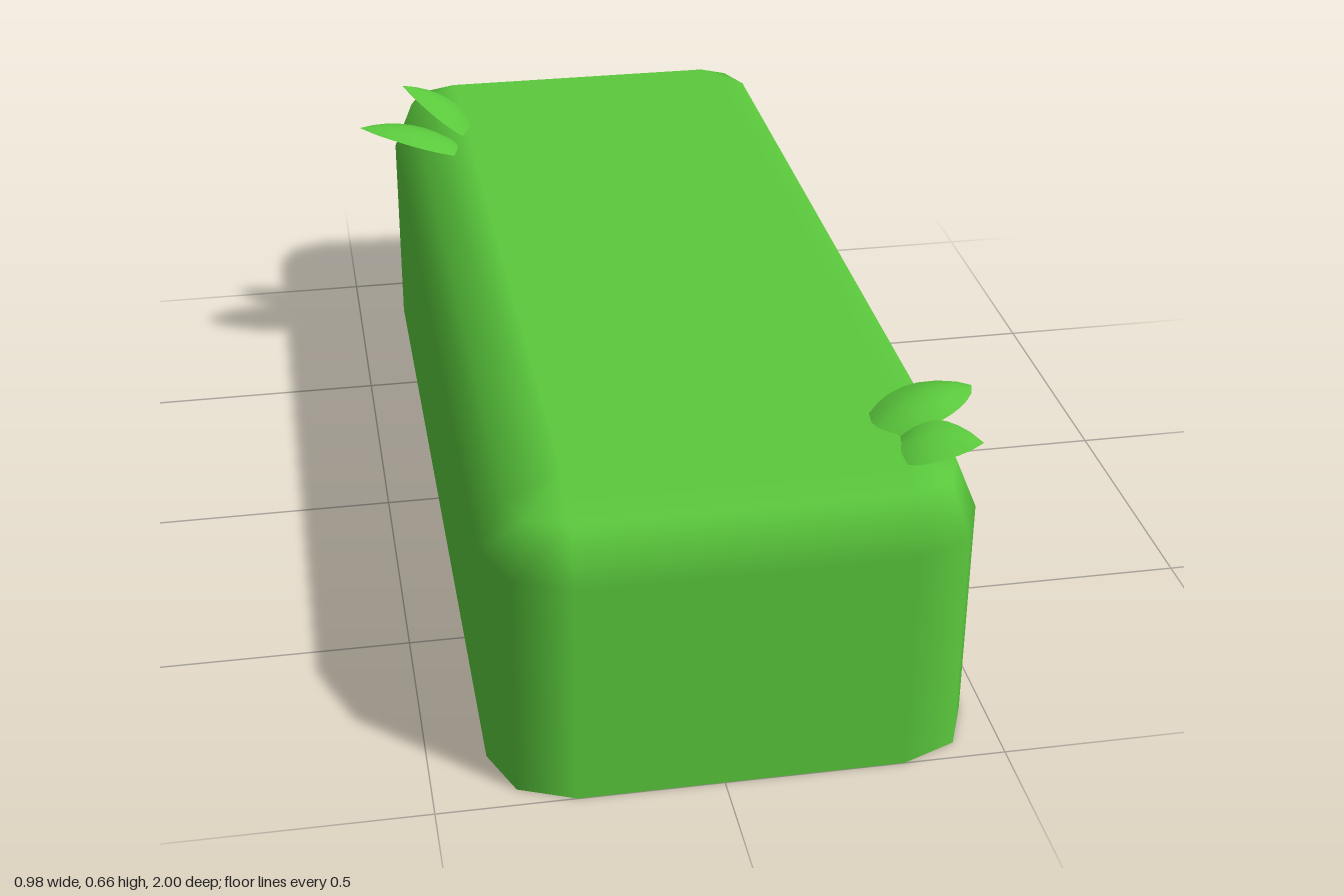
import * as THREE from 'three';

const green = new THREE.MeshStandardMaterial({ color: 0x5ac83c, side: THREE.DoubleSide });
green.name = 'leafGreen';

// Rounded block, open underneath: rings of a rounded rectangle swept up over the shoulder
function blockGeometry(halfX, halfZ, height, r, steps) {
  const pos = [], nor = [], idx = [];
  const corners = [[1, 1], [-1, 1], [-1, -1], [1, -1]];
  const n = corners.length * (steps + 1);
  const ring = (phi, y) => {
    corners.forEach(([sx, sz], c) => {
      for (let i = 0; i <= steps; i++) {
        const a = (c + i / steps) * Math.PI / 2;
        const nx = Math.cos(a) * Math.cos(phi), nz = Math.sin(a) * Math.cos(phi);
        pos.push(sx * (halfX - r) + r * nx, y, sz * (halfZ - r) + r * nz);
        nor.push(nx, Math.sin(phi), nz);
      }
    });
  };
  ring(0, 0);
  for (let j = 0; j <= steps; j++) {
    const phi = j / steps * Math.PI / 2;
    ring(phi, height - r + r * Math.sin(phi));
  }
  for (let j = 0; j <= steps; j++) {
    for (let i = 0; i < n; i++) {
      const a = j * n + i, b = j * n + (i + 1) % n;
      idx.push(a, a + n, b, b, a + n, b + n);
    }
  }
  // Flat top between the four shoulder corners
  const [p, q, s, t] = [0, 1, 2, 3].map(c => (steps + 1) * n + c * (steps + 1));
  idx.push(p, s, q, p, t, s);
  const g = new THREE.BufferGeometry();
  g.setAttribute('position', new THREE.Float32BufferAttribute(pos, 3));
  g.setAttribute('normal', new THREE.Float32BufferAttribute(nor, 3));
  g.setIndex(idx);
  return g;
}

// Arched leaf: a grid bent along a curve, tapering to a point, with drooping edges
function leaf(name, base, bend, tip, halfWidth, tilt) {
  const curve = new THREE.QuadraticBezierCurve3(
    new THREE.Vector3(...base), new THREE.Vector3(...bend), new THREE.Vector3(...tip));
  const along = curve.v2.clone().sub(curve.v0).setY(0).normalize();
  const side = along.cross(new THREE.Vector3(0, 1, 0));
  side.y = tilt;
  side.normalize();
  const g = new THREE.PlaneGeometry(2, 1, 4, 8);
  const p = g.attributes.position;
  for (let i = 0; i < p.count; i++) {
    const t = p.getY(i) + 0.5, u = p.getX(i);
    const w = halfWidth * Math.pow(Math.max(0, Math.sin(Math.PI * (0.15 + 0.85 * t))), 0.8);
    const v = curve.getPoint(t).addScaledVector(side, u * w);
    v.y -= 0.3 * u * u * w;
    p.setXYZ(i, v.x, v.y, v.z);
  }
  g.computeVertexNormals();
  const m = new THREE.Mesh(g, green);
  m.name = name;
  return m;
}

export function createModel() {
  const model = new THREE.Group();
  model.name = 'leafyBlock';

  const block = new THREE.Mesh(blockGeometry(0.4275, 1, 0.565, 0.14, 2), green);
  block.name = 'hedgeBlock';
  block.position.x = 0.031;
  model.add(block);

  // Sprig on the right edge, towards the back
  const backSprig = new THREE.Group();
  backSprig.name = 'backSprig';
  backSprig.add(
    leaf('lowLeaf', [-0.275, 0.55, -0.54], [-0.37, 0.62, -0.54], [-0.49, 0.61, -0.537], 0.063, 0),
    leaf('raisedLeaf', [-0.245, 0.56, -0.605], [-0.29, 0.635, -0.62], [-0.388, 0.656, -0.648], 0.052, 0.1));

  // Sprig on the left front corner
  const frontSprig = new THREE.Group();
  frontSprig.name = 'frontSprig';
  frontSprig.add(
    leaf('longLeaf', [0.285, 0.56, 0.805], [0.39, 0.645, 0.78], [0.488, 0.575, 0.706], 0.062, 0),
    leaf('shortLeaf', [0.31, 0.558, 0.865], [0.37, 0.605, 0.865], [0.45, 0.575, 0.9], 0.05, -0.3));

  model.add(backSprig, frontSprig);
  return model;
}
